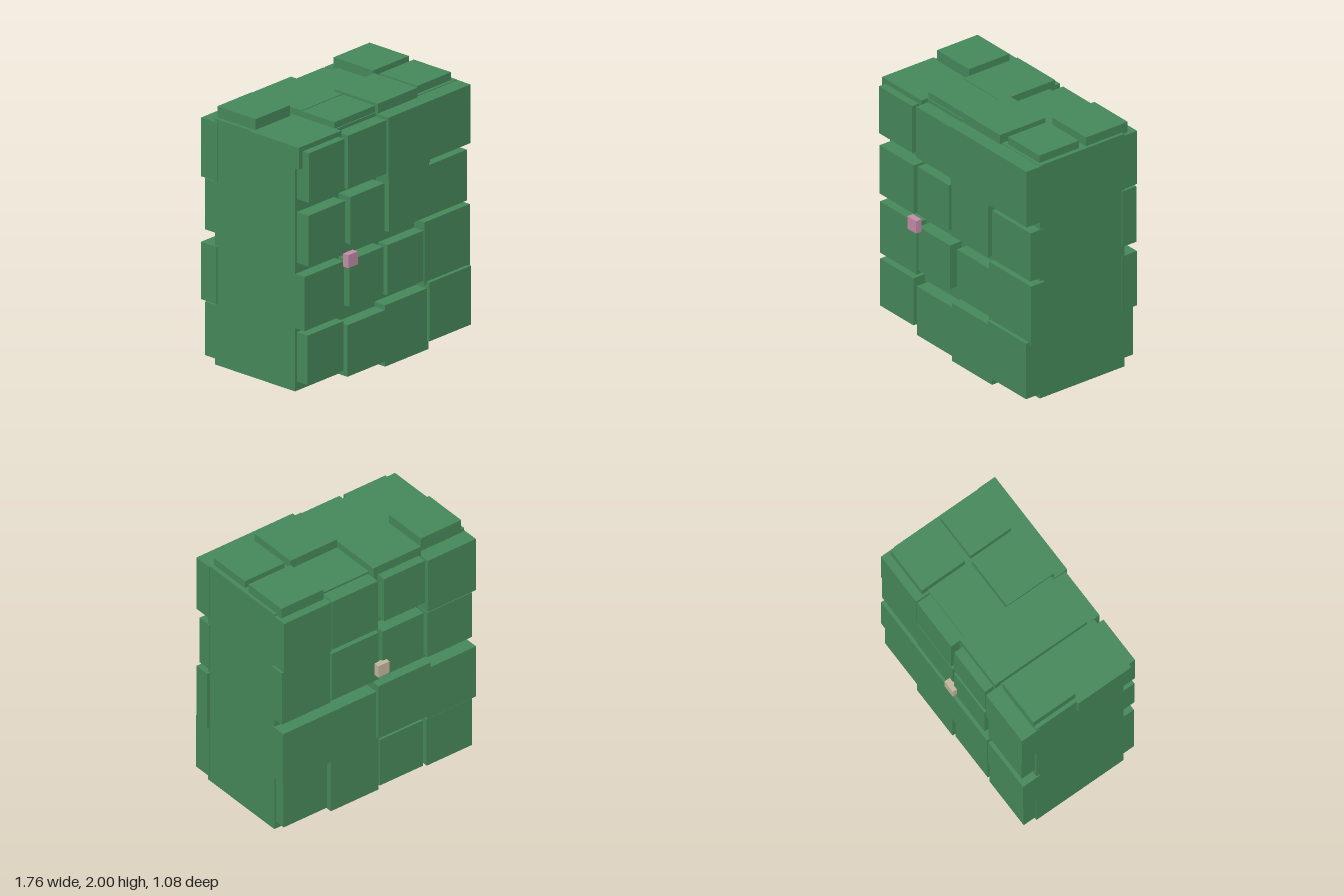
import * as THREE from 'three';

const leafGreen = new THREE.MeshStandardMaterial({ name: 'leafGreen', color: 0x46885a });
const blossomPink = new THREE.MeshStandardMaterial({ name: 'blossomPink', color: 0xc48ca8 });
const blossomCream = new THREE.MeshStandardMaterial({ name: 'blossomCream', color: 0xc4b69c });

// Box given by its two extremes on each axis
function block(name, material, [x0, x1], [y0, y1], [z0, z1]) {
  const mesh = new THREE.Mesh(new THREE.BoxGeometry(x1 - x0, y1 - y0, z1 - z0), material);
  mesh.position.set((x0 + x1) / 2, (y0 + y1) / 2, (z0 + z1) / 2);
  mesh.name = name;
  return mesh;
}

// Front clumps: x0, x1, y0, y1, front z; rows from the top down
const FRONT = [
  [-0.84, -0.46, 1.5, 1.88, 0.5], [-0.42, 0, 1.48, 1.89, 0.495],
  [-0.01, 0.43, 1.44, 1.91, 0.51], [0.42, 0.86, 1.46, 1.91, 0.51],
  [-0.84, -0.45, 1.01, 1.4, 0.495], [-0.4, -0.04, 1.05, 1.415, 0.5],
  [0, 0.42, 1.03, 1.45, 0.51], [0.42, 0.86, 1.01, 1.4, 0.475],
  [-0.86, -0.44, 0.515, 0.93, 0.475], [-0.4, -0.04, 0.57, 0.925, 0.49],
  [0.02, 0.41, 0.53, 0.915, 0.475], [0.4, 0.88, 0.5, 0.98, 0.485],
  [-0.84, -0.46, 0.1, 0.48, 0.49], [-0.42, 0, 0.04, 0.435, 0.49],
  [-0.02, 0.44, 0, 0.47, 0.49], [0.42, 0.86, 0.07, 0.52, 0.515],
];

// Back clumps: x0, x1, y0, y1, back z; rows from the top down
const BACK = [
  [0.43, 0.855, 1.47, 1.9, -0.5], [0.01, 0.42, 1.48, 1.9, -0.5],
  [-0.41, -0.04, 1.53, 1.9, -0.51], [-0.865, -0.43, 1.44, 1.89, -0.515],
  [0.43, 0.865, 1.01, 1.46, -0.485], [0, 0.42, 1.03, 1.44, -0.495],
  [-0.4, -0.03, 1.05, 1.44, -0.505], [-0.84, -0.44, 1.03, 1.42, -0.5],
  [0.42, 0.86, 0.49, 0.93, -0.495], [0, 0.43, 0.49, 0.93, -0.495],
  [-0.45, 0.02, 0.53, 0.99, -0.52], [-0.87, -0.43, 0.5, 0.94, -0.51],
  [0.45, 0.84, 0.09, 0.48, -0.475], [0, 0.43, 0.06, 0.49, -0.495],
  [-0.41, -0.02, 0.08, 0.48, -0.485], [-0.85, -0.44, 0.07, 0.48, -0.49],
];

// Top clumps: x0, x1, z0, z1, top y
const TOP = [
  [-0.83, -0.465, -0.39, -0.02, 2], [-0.43, 0, -0.435, 0.06, 1.97],
  [0.45, 0.83, -0.435, -0.055, 1.985], [-0.88, -0.43, -0.03, 0.44, 1.918],
  [-0.43, 0, 0.06, 0.375, 1.965], [0, 0.42, -0.015, 0.4, 1.985],
  [0.46, 0.82, 0, 0.36, 1.975],
];

export function createModel() {
  const model = new THREE.Group();
  model.name = 'hedge';
  model.add(block('hedgeCore', leafGreen, [-0.86, 0.855], [0.03, 1.915], [-0.385, 0.385]));

  // Leaf clumps sunk into the core
  const front = new THREE.Group();
  const back = new THREE.Group();
  const top = new THREE.Group();
  front.name = 'frontClumps';
  back.name = 'backClumps';
  top.name = 'topClumps';
  for (const [x0, x1, y0, y1, z] of FRONT) {
    front.add(block('frontClump', leafGreen, [x0, x1], [y0, y1], [0.36, z]));
  }
  for (const [x0, x1, y0, y1, z] of BACK) {
    back.add(block('backClump', leafGreen, [x0, x1], [y0, y1], [z, -0.36]));
  }
  for (const [x0, x1, z0, z1, y] of TOP) {
    top.add(block('topClump', leafGreen, [x0, x1], [1.75, y], [z0, z1]));
  }
  model.add(front, back, top);

  // Small blossoms
  model.add(block('pinkBlossom', blossomPink, [-0.465, -0.365], [0.9, 1], [0.49, 0.54]));
  model.add(block('creamBlossom', blossomCream, [-0.065, 0.035], [1.085, 1.185], [-0.54, -0.49]));
  return model;
}
